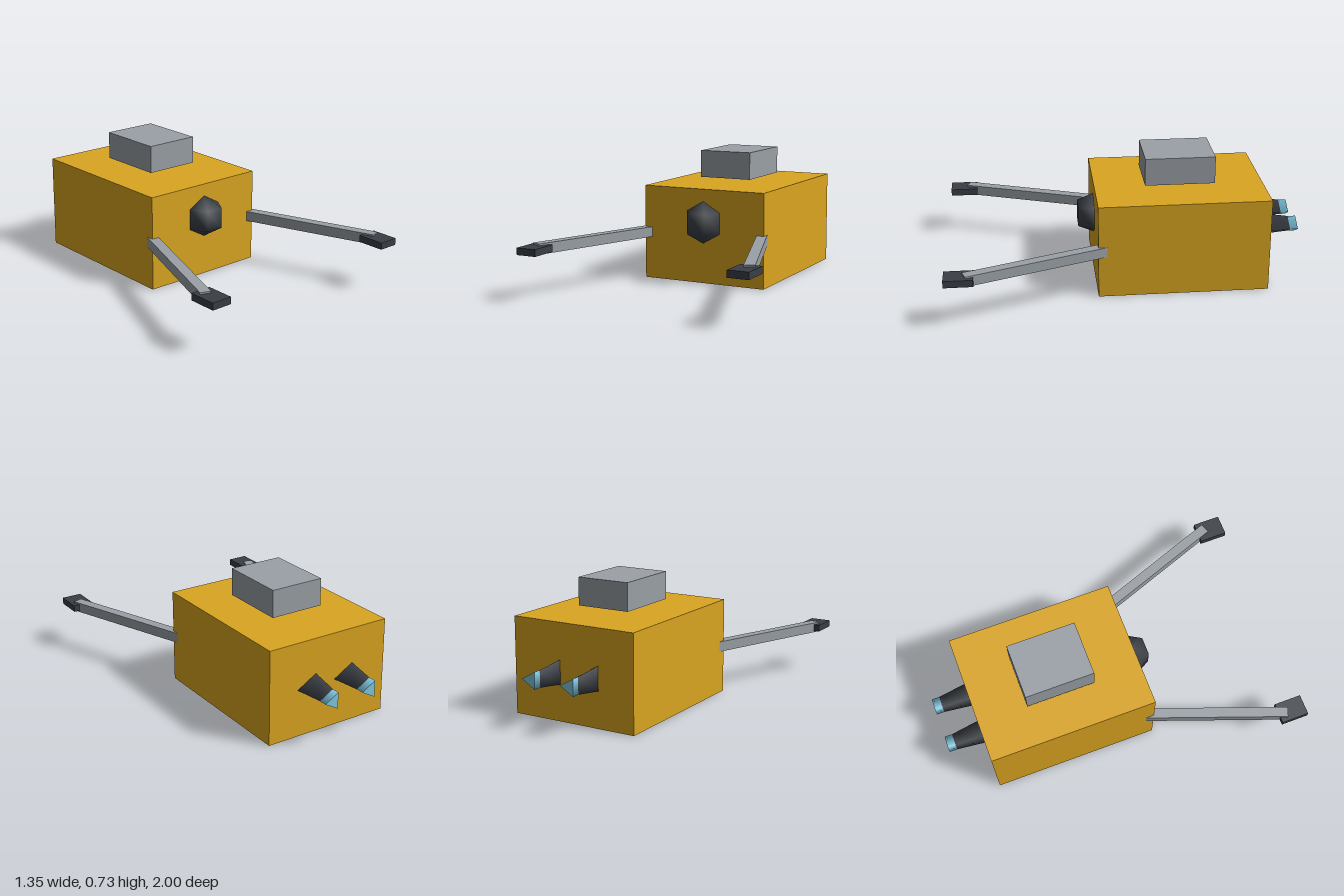
import * as THREE from 'three';

const material = (name, color) => {
  const m = new THREE.MeshStandardMaterial({ color });
  m.name = name;
  return m;
};

export function createModel() {
  const model = new THREE.Group();
  model.name = 'pod';
  const gold = material('gold', 0xdaa520);
  const grey = material('grey', 0x9aa0a6);
  const dark = material('charcoal', 0x3a3f45);
  const blue = material('pale blue', 0x7ec8e0);

  const add = (name, geometry, mat, x, y, z) => {
    const mesh = new THREE.Mesh(geometry, mat);
    mesh.name = name;
    mesh.position.set(x, y, z);
    model.add(mesh);
    return mesh;
  };

  // Hull and the block hovering just above it
  add('body', new THREE.BoxGeometry(0.75, 0.54, 0.96), gold, 0, 0.27, -0.315);
  add('topBlock', new THREE.BoxGeometry(0.315, 0.157, 0.395), grey, 0, 0.647, -0.313);

  // Coarse round eye, half sunk into the front
  add('frontEye', new THREE.SphereGeometry(0.12, 6, 3), dark, 0, 0.35, 0.165);

  // Three-sided taper running backwards, one corner towards +x
  const taper = (rBack, rFront, length) =>
    new THREE.CylinderGeometry(rBack, rFront, length, 3)
      .rotateY(Math.PI / 2)
      .rotateX(-Math.PI / 2);

  const angle = THREE.MathUtils.degToRad(20);
  const armLength = 0.85;
  for (const side of [-1, 1]) {
    const label = side > 0 ? 'left' : 'right';

    // Thruster with a glowing tip
    add(label + 'Thruster', taper(0.054, 0.078, 0.16), dark, side * 0.12, 0.271, -0.875);
    add(label + 'ThrusterTip', taper(0.054, 0.054, 0.045), blue, side * 0.12, 0.271, -0.9775);

    // Splayed arm, ending on a flat foot
    const arm = add(label + 'Arm', new THREE.BoxGeometry(0.058, 0.058, armLength), grey,
      side * (0.627 - Math.sin(angle) * armLength / 2), 0.271,
      0.893 - Math.cos(angle) * armLength / 2);
    arm.rotation.y = side * angle;
    add(label + 'Foot', new THREE.BoxGeometry(0.117, 0.039, 0.158), dark, side * 0.616, 0.271, 0.921);
  }
  return model;
}
